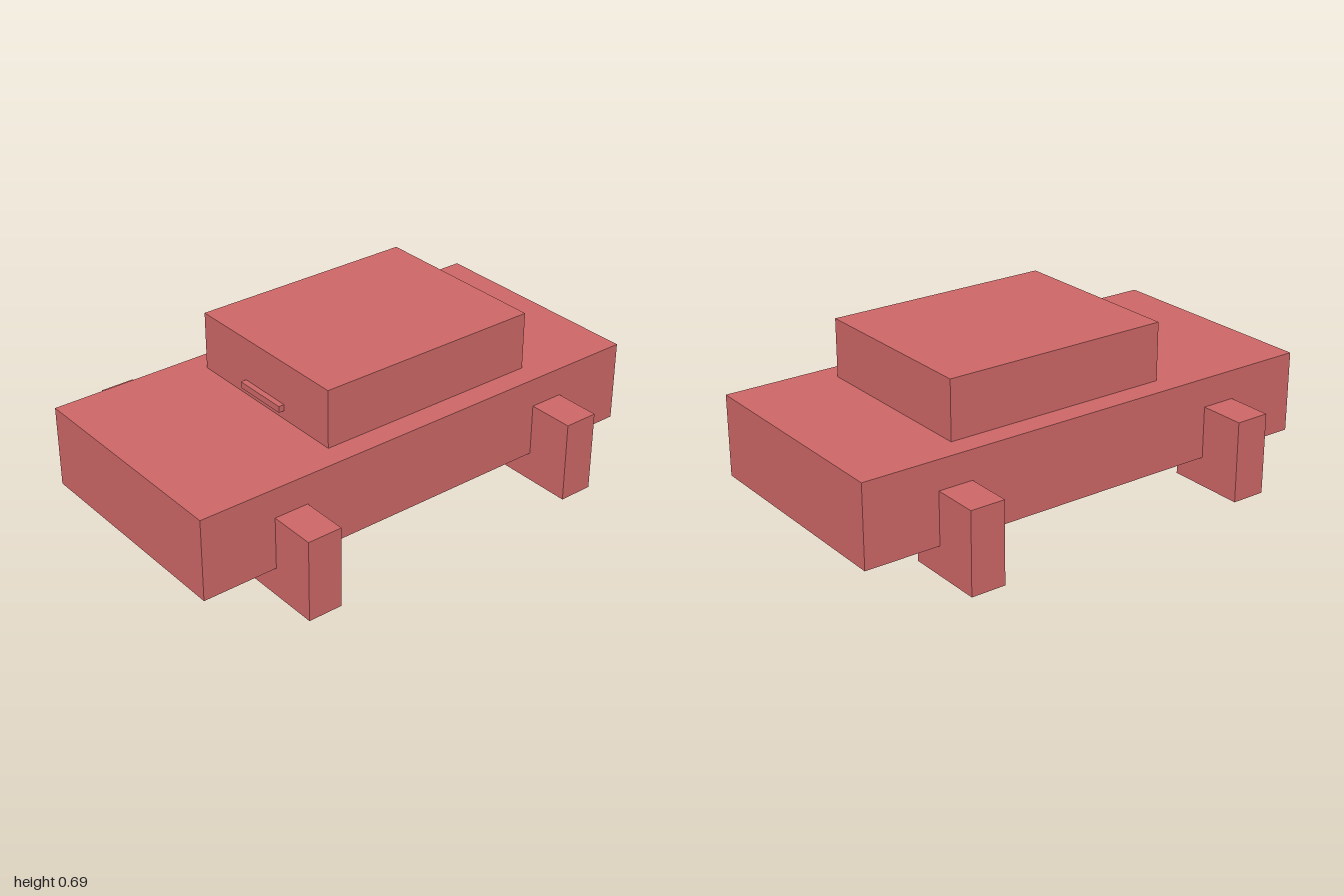
import * as THREE from 'three';

export function createModel() {
  const model = new THREE.Group();
  model.name = 'car';
  const red = new THREE.MeshStandardMaterial({ name: 'dusty red', color: 0xcc6666 });

  // Box given by its size and centre
  const addBox = (name, size, centre) => {
    const mesh = new THREE.Mesh(new THREE.BoxGeometry(...size), red);
    mesh.name = name;
    mesh.position.set(...centre);
    model.add(mesh);
  };

  addBox('body', [0.952, 0.333, 2], [0, 0.286, 0]);
  addBox('cabin', [0.762, 0.238, 0.952], [0, 0.571, -0.095]);
  // Small bar on the front of the cabin
  addBox('frontBar', [0.238, 0.026, 0.048], [0, 0.501, 0.381]);

  // Four square wheels, half sunk into the body
  for (const [end, z] of [['front', 0.619], ['rear', -0.619]]) {
    for (const [side, x] of [['Left', 0.5], ['Right', -0.5]]) {
      addBox(`${end}${side}Wheel`, [0.333, 0.333, 0.143], [x, 0.1665, z]);
    }
  }
  return model;
}
